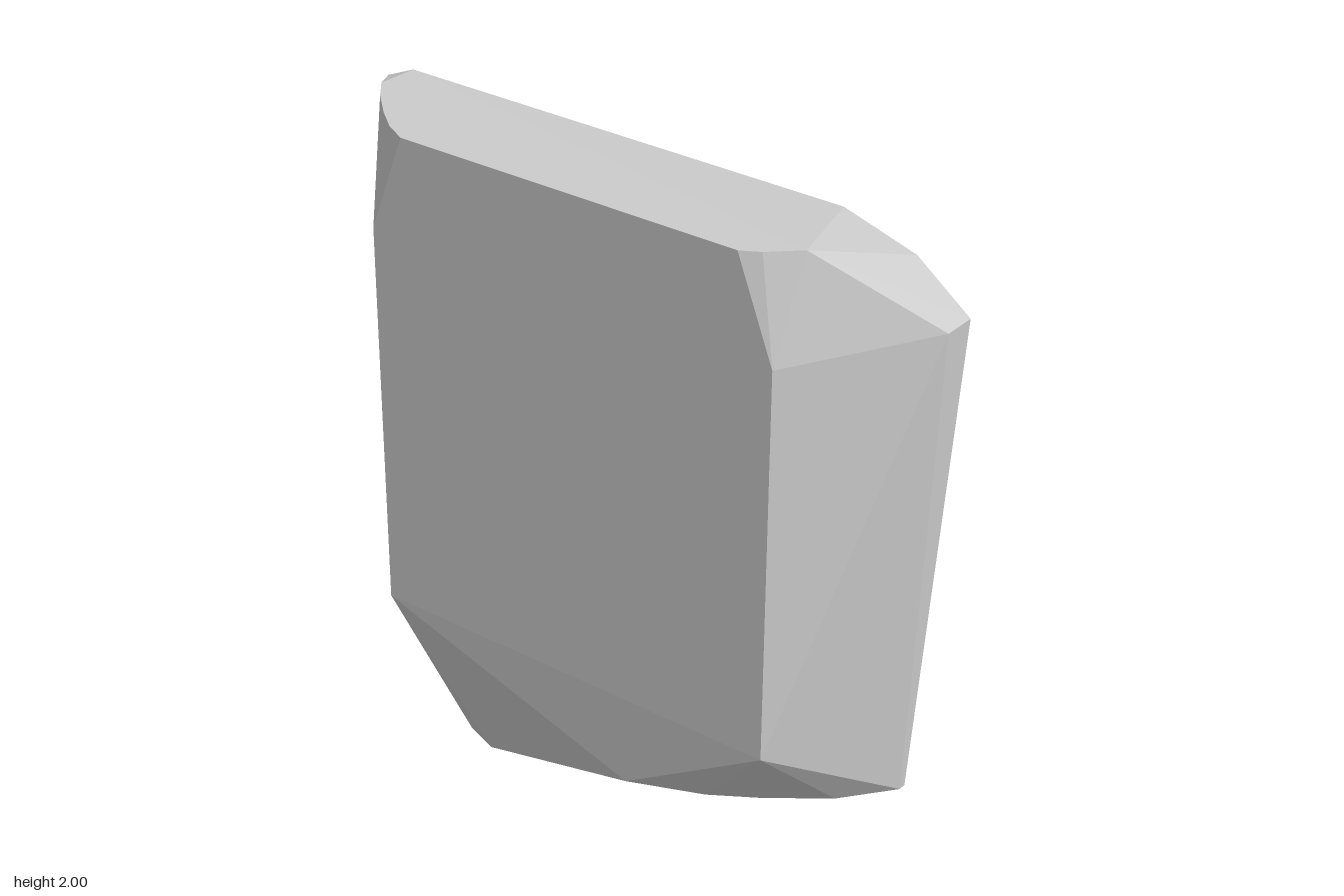
import * as THREE from 'three';
import { ConvexGeometry } from 'three/addons/geometries/ConvexGeometry.js';

// Faceted convex slab, described by the corners of each of its faces.
export function createModel() {
  const group = new THREE.Group();
  const X = 0.245;
  const corners = [];
  const add = (...pts) => pts.forEach((p) => corners.push(new THREE.Vector3(...p)));

  // large flat left face: [z, y] outline
  for (const [z, y] of [
    [0.94, 1.73], [0.77, 1.86], [0.54, 1.93], [-0.54, 1.93], [-0.94, 1.74],
    [-0.83, 0.2], [-0.8, 0.02], [-0.6, 0.02], [0.83, 0.2],
  ]) add([X, y, z]);

  // smaller right face, the same at front and back
  for (const s of [1, -1]) {
    add([-0.25, 2, s * 0.555], [-0.25, 1.7, s * 0.67], [-0.25, 0.5, s * 0.67]);
  }

  // flat top with curved ends
  add([-0.22, 2, 0.61], [-0.145, 2, 0.69]);
  add([-0.21, 2, -0.63], [-0.15, 2, -0.705], [-0.07, 2, -0.79], [0, 2, -0.848], [0.125, 2, -0.84]);

  // upper corners of the narrow front and back faces
  add([0.14, 1.73, 0.94], [0.125, 1.96, -0.935], [0.125, 1.7, -0.94]);

  // curved front edge of the sloping underside
  add([0.22, 0.2, 0.83], [0.07, 0.2, 0.71], [-0.055, 0.2, 0.545], [-0.14, 0.2, 0.41], [-0.24, 0.21, 0.2]);

  // flat foot with a curved rear edge
  add([0.225, 0, -0.6], [0.225, 0, -0.79], [0.19, 0, -0.785], [0.1, 0, -0.725],
    [0, 0, -0.63], [-0.09, 0, -0.51], [-0.13, 0, -0.4]);

  const slab = new THREE.Mesh(
    new ConvexGeometry(corners),
    new THREE.MeshStandardMaterial({ color: 0xcccccc, flatShading: true }),
  );
  slab.name = 'facetedSlab';
  group.add(slab);
  return group;
}
